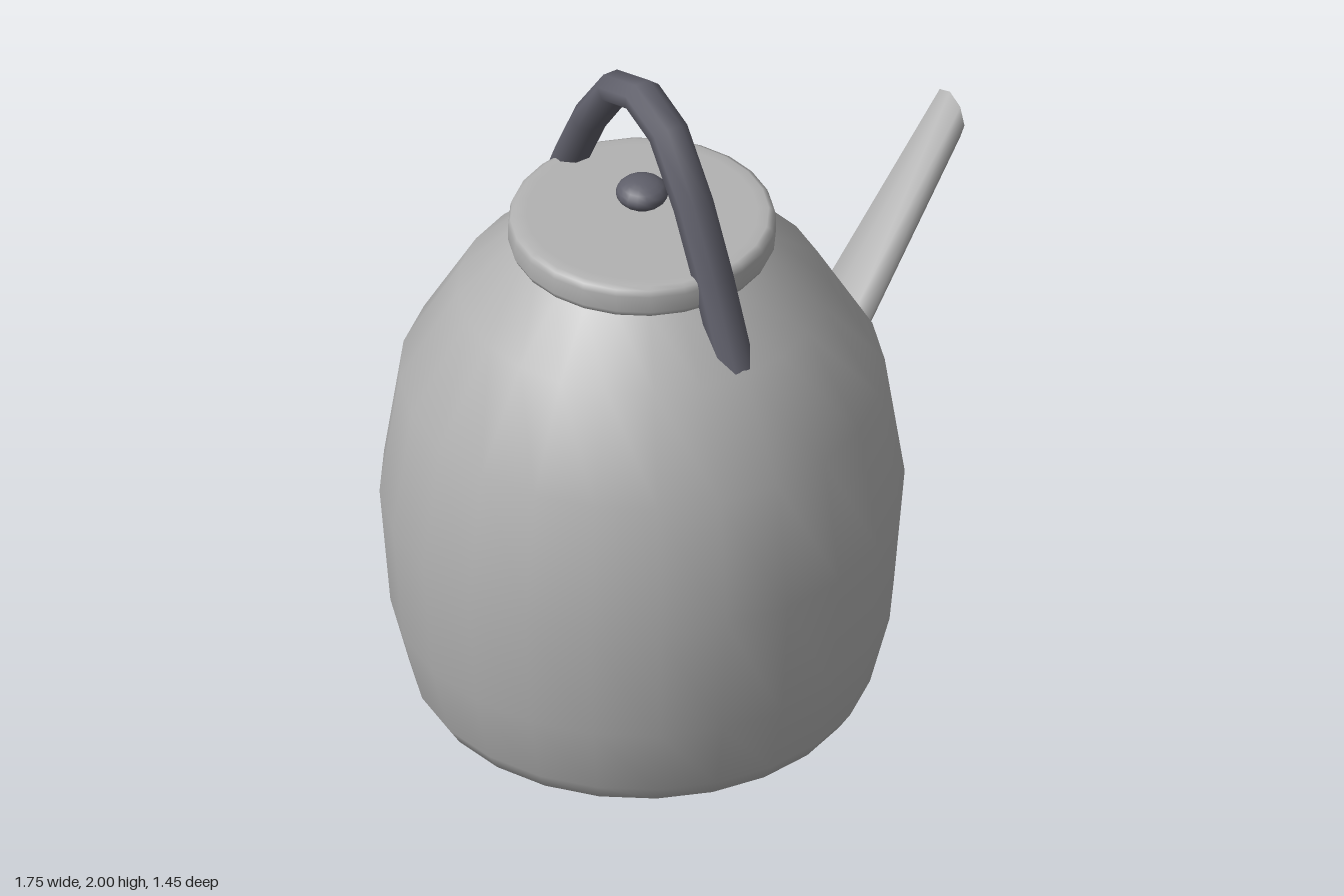
import * as THREE from 'three';

const AXIS = -0.15; // x of the pot's centre line
const SIDES = 24;

// Skin a list of rings; each ring is { c: centre, u, v: half-axis vectors }
function loft(rings, sides, offset = 0) {
  const pos = [], index = [];
  rings.forEach(({ c, u, v }, i) => {
    for (let j = 0; j < sides; j++) {
      const a = offset + (j / sides) * Math.PI * 2;
      const p = c.clone().addScaledVector(u, Math.cos(a)).addScaledVector(v, Math.sin(a));
      pos.push(p.x, p.y, p.z);
      if (i === rings.length - 1) continue;
      const k = (j + 1) % sides;
      const a0 = i * sides + j, b0 = i * sides + k;
      index.push(a0, b0, a0 + sides, b0, b0 + sides, a0 + sides);
    }
  });
  const g = new THREE.BufferGeometry();
  g.setAttribute('position', new THREE.Float32BufferAttribute(pos, 3));
  g.setIndex(index);
  g.computeVertexNormals();
  return g;
}

function lathe(profile) {
  return new THREE.LatheGeometry(profile.map(([r, y]) => new THREE.Vector2(r, y)), SIDES);
}

export function createModel() {
  const group = new THREE.Group();
  const metal = new THREE.MeshStandardMaterial({ color: 0xb2b2b2, side: THREE.DoubleSide });
  metal.name = 'light grey metal';
  const grip = new THREE.MeshStandardMaterial({ color: 0x5f5f6a });
  grip.name = 'dark grey grip';

  const add = (name, geometry, material, x = 0, y = 0) => {
    const mesh = new THREE.Mesh(geometry, material);
    mesh.name = name;
    mesh.position.set(x, y, 0);
    group.add(mesh);
    return mesh;
  };

  // Barrel-shaped body with a flat base and a neck under the lid
  add('body', lathe([
    [0, 0], [0.57, 0], [0.605, 0.005], [0.64, 0.06], [0.695, 0.28], [0.725, 0.65],
    [0.67, 1.03], [0.51, 1.31], [0.355, 1.465], [0.33, 1.5],
  ]), metal, AXIS);

  // Flat lid with rounded rim
  add('lid', lathe([
    [0, 1.46], [0.345, 1.46], [0.362, 1.468], [0.37, 1.485],
    [0.37, 1.535], [0.364, 1.553], [0.35, 1.56], [0.32, 1.561], [0, 1.561],
  ]), metal, AXIS);

  // Flattened knob above the lid
  add('knob', new THREE.SphereGeometry(0.073, 16, 10), grip, AXIS, 1.63).scale.y = 0.58;

  // Tapered open spout, cut upright at both ends
  const spoutRing = (x, y, r) => ({
    c: new THREE.Vector3(x, y, 0),
    u: new THREE.Vector3(0, r, 0),
    v: new THREE.Vector3(0, 0, r),
  });
  add('spout', loft([spoutRing(0.51, 0.945, 0.107), spoutRing(0.87, 1.49, 0.072)], 8), metal);

  // Arched handle, an eight-sided bar following a mirrored path of [z, y]
  const half = [[0.46, 1.3], [0.355, 1.54], [0.255, 1.735], [0.13, 1.907]];
  const path = [
    ...half.map(([z, y]) => [-z, y]),
    [0, 1.955],
    ...half.slice().reverse(),
  ].map(([z, y]) => new THREE.Vector3(0, y, z));
  const handleRings = path.map((c, i) => {
    const before = path[Math.max(i - 1, 0)], after = path[Math.min(i + 1, path.length - 1)];
    const t = after.clone().sub(before).normalize();
    return {
      c,
      u: new THREE.Vector3(0, t.z, -t.y).multiplyScalar(0.048),
      v: new THREE.Vector3(-0.059, 0, 0),
    };
  });
  add('handle', loft(handleRings, 8, Math.PI / 8), grip, AXIS);

  return group;
}
